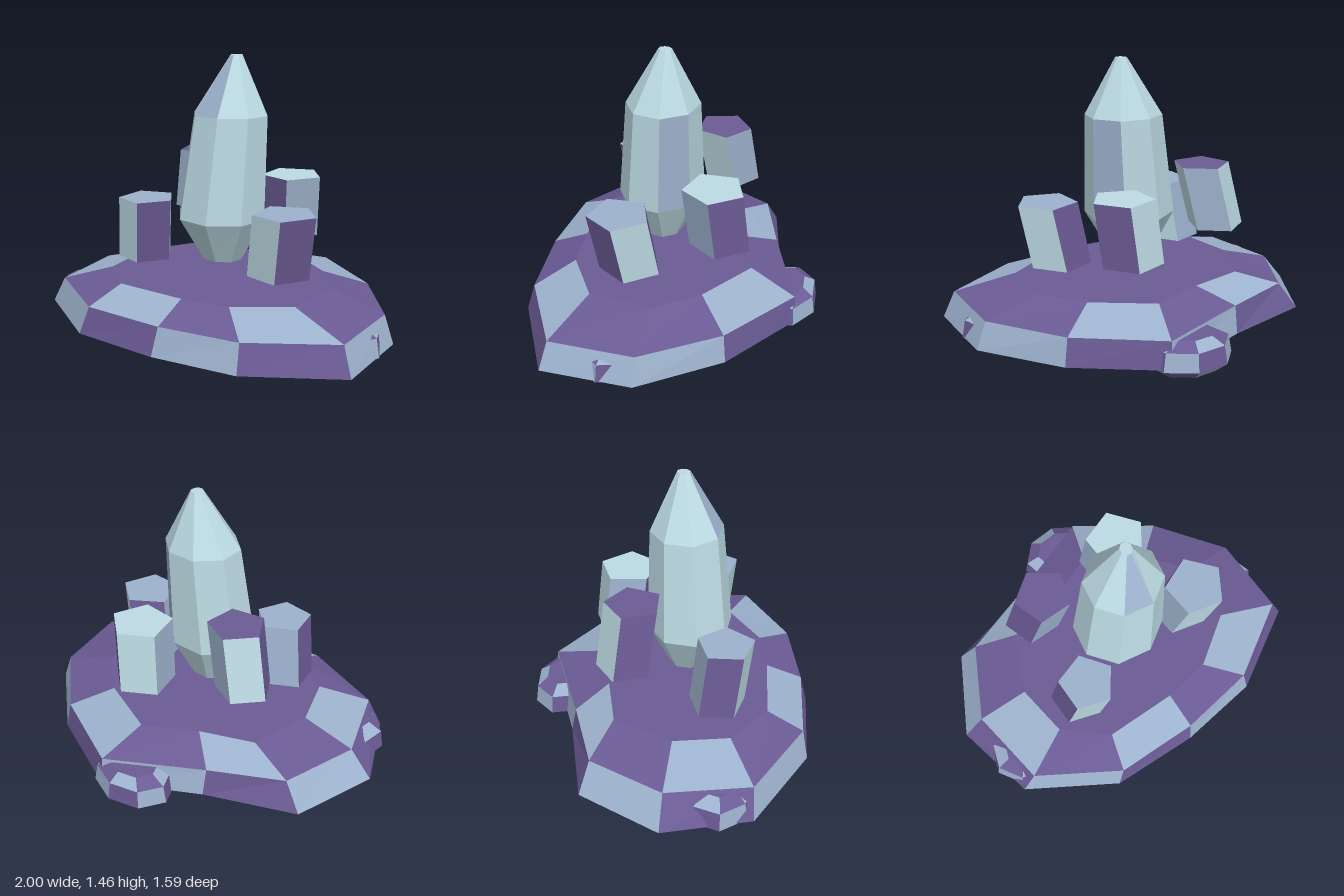
import * as THREE from 'three';

const material = (name, color) => Object.assign(new THREE.MeshStandardMaterial({ color }), { name });
const materials = {
  p: material('purple stone', 0x6b5b95),
  b: material('slate blue stone', 0x9db2cd),
  c: material('pale ice crystal', 0xbcdae3),
};

// Ring of corners, counter-clockwise seen from above
function ring(n, y, cx, cz, rx, rz, startDeg) {
  return Array.from({ length: n }, (_, k) => {
    const a = THREE.MathUtils.degToRad(startDeg - (k * 360) / n);
    return [cx + rx * Math.cos(a), y, cz + rz * Math.sin(a)];
  });
}

// Flat-faced stone through rings from bottom to top.
// bands: one colour letter per face; caps: bottom and top letters
function stone(name, rings, bands, caps) {
  const faces = { p: [], b: [], c: [] };
  const n = rings[0].length;
  bands.forEach((letters, r) => {
    for (let i = 0; i < n; i++) {
      const j = (i + 1) % n;
      const [a, b, c, d] = [rings[r][i], rings[r][j], rings[r + 1][j], rings[r + 1][i]];
      faces[letters[i % letters.length]].push(a, b, c, a, c, d);
    }
  });
  const cap = (points, letter, up) => {
    const mid = [0, 1, 2].map(k => points.reduce((s, p) => s + p[k], 0) / n);
    points.forEach((p, i) => {
      const q = points[(i + 1) % n];
      faces[letter].push(mid, ...(up ? [p, q] : [q, p]));
    });
  };
  cap(rings[0], caps[0], false);
  cap(rings[rings.length - 1], caps[1], true);

  const geometry = new THREE.BufferGeometry();
  const used = Object.keys(faces).filter(k => faces[k].length);
  let start = 0;
  used.forEach((k, i) => {
    geometry.addGroup(start, faces[k].length, i);
    start += faces[k].length;
  });
  const positions = used.flatMap(k => faces[k].flat());
  geometry.setAttribute('position', new THREE.Float32BufferAttribute(positions, 3));
  geometry.computeVertexNormals();
  const mesh = new THREE.Mesh(geometry, used.map(k => materials[k]));
  mesh.name = name;
  return mesh;
}

export function createModel() {
  const group = new THREE.Group();
  group.name = 'floatingCrystals';

  // Irregular slab: widest outline, shoulder and flat top
  const at = (y, points) => points.map(([x, z]) => [x, y, z]);
  const wide = [[-1, .16], [-.82, .59], [-.32, .79], [.16, .73], [.6, .6], [1, .27],
    [.91, -.2], [.55, -.53], [.08, -.74], [-.39, -.48], [-.85, -.29]];
  const shoulder = [[-.88, .15], [-.74, .57], [-.28, .755], [.17, .69], [.58, .56], [.94, .25],
    [.86, -.19], [.53, -.51], [.08, -.72], [-.39, -.45], [-.75, -.26]];
  const top = [[-.6, .13], [-.51, .41], [-.26, .56], [.13, .5], [.38, .42], [.61, .2],
    [.58, -.13], [.37, -.32], [.04, -.46], [-.23, -.31], [-.51, -.2]];
  const foot = wide.map(([x, z]) => [x * .79, z * .71]);
  group.add(stone('baseSlab',
    [at(0, foot), at(.075, wide), at(.22, shoulder), at(.3, top)],
    ['bpbpbppbpbp', 'pbpbpbbpbpb', 'bpbpbppbpbp'], 'pp'));

  // Small stones sunk into the rim
  [['backRimStone', -.05, -.62, .23, .18, 5],
    ['leftRimStone', -.7, .39, .225, .19, 30],
    ['rightRimStone', .735, -.02, .215, .18, 0]].forEach(([name, x, z, rx, rz, turn]) => {
    group.add(stone(name, [
      ring(8, .02, x, z, rx * .7, rz * .7, turn),
      ring(8, .07, x, z, rx, rz, turn),
      ring(8, .165, x, z, rx * .92, rz * .92, turn),
      ring(8, .205, x, z, rx * .6, rz * .6, turn),
    ], ['bp', 'pb', 'bp'], 'pp'));
  });

  // Tall leaning crystal
  group.add(stone('tallCrystal', [
    ring(8, .39, -.005, .075, .115, .1, 157.5),
    ring(8, .62, 0, .085, .245, .225, 157.5),
    ring(8, 1.16, .04, .055, .205, .19, 157.5),
    ring(8, 1.46, .06, .032, .03, .035, 157.5),
  ], ['c', 'ccccbccc', 'cbcccccc'], 'cc'));

  // Four five-sided crystals around it: top centre, radius, heights, turn, lean, colours
  [['frontLeftCrystal', -.295, .335, .15, .38, .715, -10, .05, .03, 'cbpcp', 'b'],
    ['frontRightCrystal', .455, .1, .165, .38, .715, -14, .06, .03, 'cpbcp', 'b'],
    ['backRightCrystal', .17, -.29, .165, .48, .81, -12, .035, .03, 'pcbpb', 'c'],
    ['backLeftCrystal', -.325, -.13, .15, .575, .91, -28, .075, .03, 'bcpbc', 'p'],
  ].forEach(([name, x, z, r, y0, y1, turn, leanX, leanZ, sides, cap]) => {
    group.add(stone(name, [
      ring(5, y0, x - leanX, z - leanZ, r, r, turn),
      ring(5, y1, x, z, r, r, turn),
    ], [sides], 'p' + cap));
  });

  return group;
}
